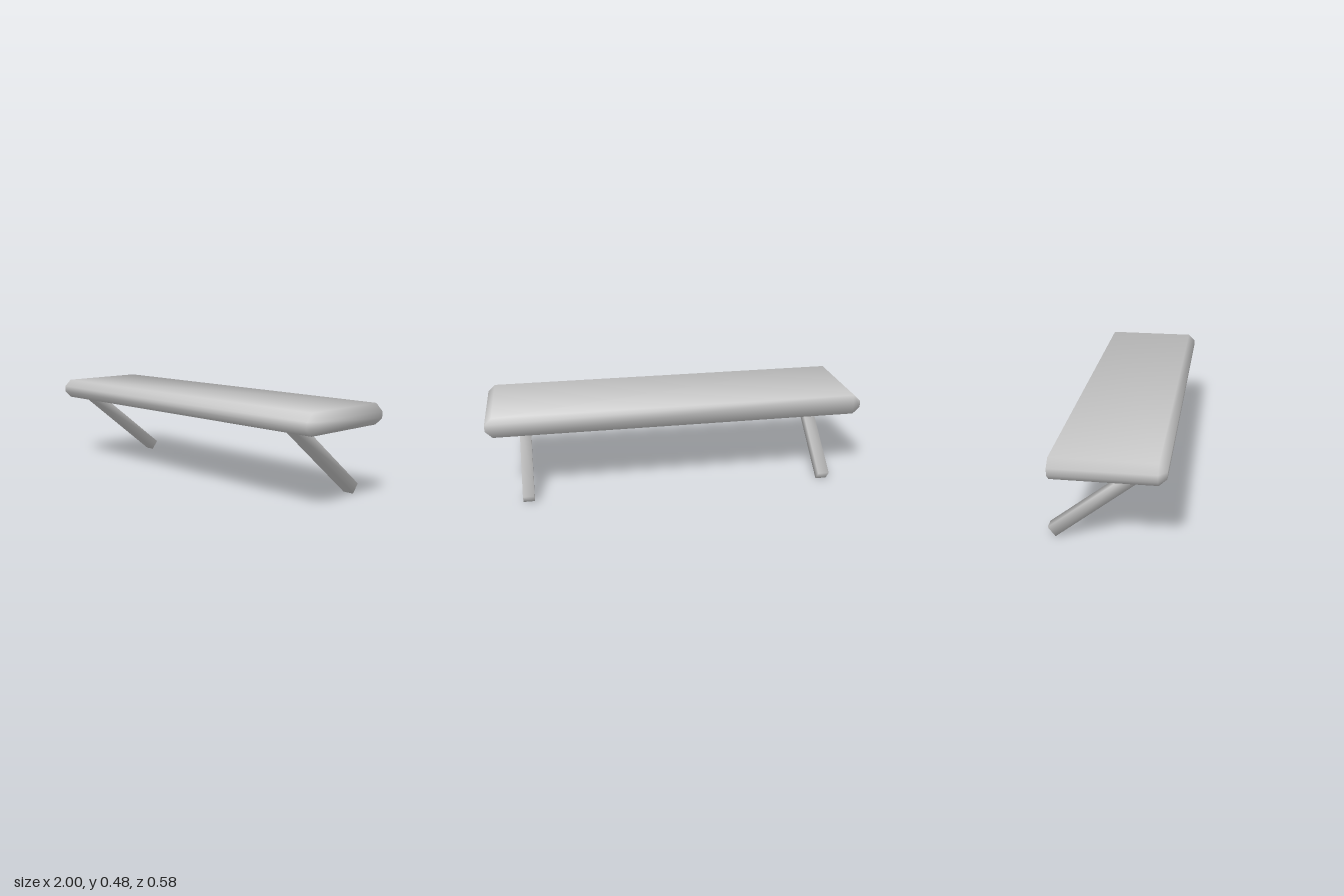
import * as THREE from 'three';

// Solid from polygon faces with shared, corner-angle-weighted smooth normals
function smoothSolid(points, faces) {
  const pts = points.map((p) => new THREE.Vector3(...p));
  const normals = pts.map(() => new THREE.Vector3());
  const index = [];
  for (const f of faces) {
    const n = new THREE.Vector3();
    const ab = new THREE.Vector3(), ac = new THREE.Vector3();
    for (let i = 1; i < f.length - 1; i++) {
      index.push(f[0], f[i], f[i + 1]);
      ab.subVectors(pts[f[i]], pts[f[0]]);
      ac.subVectors(pts[f[i + 1]], pts[f[0]]);
      n.add(ab.cross(ac));
    }
    n.normalize();
    f.forEach((v, i) => {
      const next = pts[f[(i + 1) % f.length]].clone().sub(pts[v]);
      const prev = pts[f[(i + f.length - 1) % f.length]].clone().sub(pts[v]);
      normals[v].addScaledVector(n, next.angleTo(prev));
    });
  }
  const g = new THREE.BufferGeometry().setFromPoints(pts);
  g.setAttribute('normal', new THREE.Float32BufferAttribute(
    normals.flatMap((n) => n.normalize().toArray()), 3));
  g.setIndex(index);
  return g;
}

// Slab bevelled on the front and both ends, flat at the back
function boardGeometry() {
  const xo = 1, xi = 0.963, back = -0.241, zi = 0.253, zo = 0.291;
  const inner = (y) => [[xi, y, back], [-xi, y, back], [-xi, y, zi], [xi, y, zi]];
  const outer = (y) => [[xo, y, back], [-xo, y, back], [-xo, y, zi],
    [-xi, y, zo], [xi, y, zo], [xo, y, zi]];
  const points = [...inner(0.483), ...outer(0.446), ...outer(0.412), ...inner(0.376)];
  const faces = [
    [0, 1, 2, 3], [19, 18, 17, 16],                                     // top, bottom
    [1, 0, 4, 10, 16, 17, 11, 5],                                       // back
    [1, 5, 6, 2], [2, 6, 7], [2, 7, 8, 3], [3, 8, 9], [3, 9, 4, 0],     // upper bevel
    [17, 18, 12, 11], [18, 13, 12], [18, 19, 14, 13], [19, 15, 14], [19, 16, 10, 15], // lower bevel
  ];
  // Upright rim
  for (let i = 1; i < 6; i++) {
    const a = 4 + i, b = 4 + ((i + 1) % 6);
    faces.push([a, a + 6, b + 6, b]);
  }
  return smoothSolid(points, faces);
}

// Square strut slanting down and back, cut flush with the underside of the board
function strutGeometry() {
  const profile = [[0.376, 0.127], [0.048, -0.289], [0, -0.252], [0.376, 0.221]];
  const points = [0.03, -0.03].flatMap((x) => profile.map(([y, z]) => [x, y, z]));
  const faces = [[3, 2, 1, 0], [4, 5, 6, 7]];
  for (let i = 0; i < 3; i++) faces.push([i, i + 1, i + 5, i + 4]);
  return smoothSolid(points, faces);
}

export function createModel() {
  const group = new THREE.Group();
  group.name = 'wallShelf';
  const grey = new THREE.MeshStandardMaterial({ color: 0xcccccc });
  grey.name = 'lightGrey';

  const board = new THREE.Mesh(boardGeometry(), grey);
  board.name = 'board';
  group.add(board);

  const strut = strutGeometry();
  for (const [name, x] of [['leftStrut', 0.807], ['rightStrut', -0.807]]) {
    const mesh = new THREE.Mesh(strut, grey);
    mesh.name = name;
    mesh.position.x = x;
    group.add(mesh);
  }
  return group;
}
